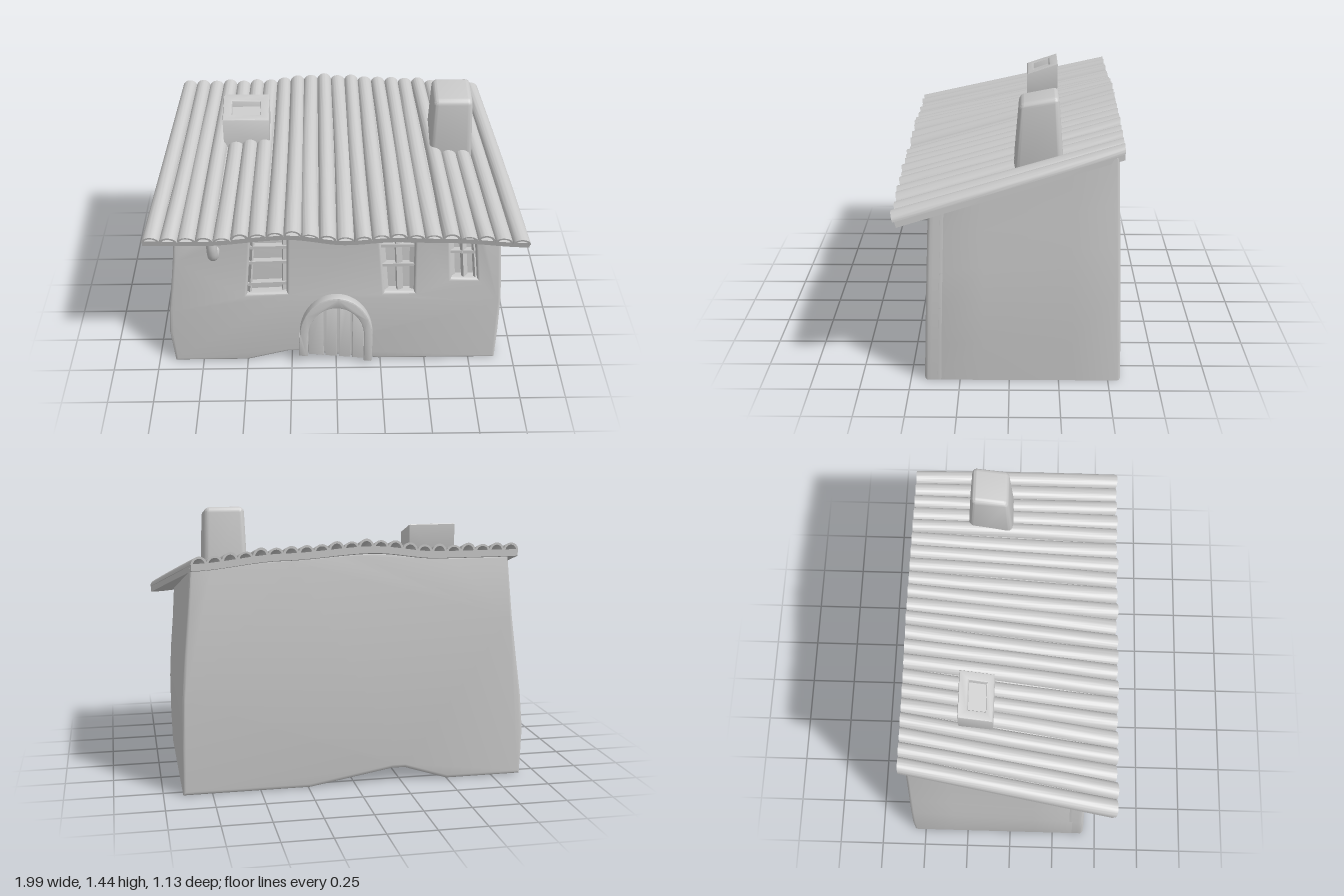
import * as THREE from 'three';
import { toCreasedNormals } from 'three/addons/utils/BufferGeometryUtils.js';
import { RoundedBoxGeometry } from 'three/addons/geometries/RoundedBoxGeometry.js';

const clay = new THREE.MeshStandardMaterial({ color: 0xc8c8c8 });
clay.name = 'grey clay';
const { lerp } = THREE.MathUtils;

// Move every vertex by a rule, then restore soft normals with sharp edges.
function warp(geo, rule, crease = 0.6) {
  const p = geo.attributes.position;
  for (let i = 0; i < p.count; i++) p.setXYZ(i, ...rule(p.getX(i), p.getY(i), p.getZ(i)));
  return toCreasedNormals(geo, crease);
}

function add(parent, name, geo) {
  const mesh = new THREE.Mesh(geo, clay);
  mesh.name = name;
  parent.add(mesh);
  return mesh;
}

// Smooth height curve through a few [x, y] points.
function wave(points) {
  return (x) => {
    let i = 0;
    while (i < points.length - 2 && x > points[i + 1][0]) i++;
    const [a, b] = [points[i], points[i + 1]];
    return lerp(a[1], b[1], THREE.MathUtils.smoothstep(x, a[0], b[0]));
  };
}
const eaves = wave([[-1, 0.908], [-0.7, 0.903], [-0.25, 0.938], [0.05, 0.9], [0.3, 0.917], [0.6, 0.907], [1, 0.875]]);
const ridge = wave([[-1, 1.19], [-0.5, 1.19], [-0.08, 1.225], [0.45, 1.2], [1, 1.16]]);
const roofUnder = (u, t) => lerp(eaves(u), ridge(u), t);

// u runs across the roof, t from front to back, h is the height above its underside.
function roofPoint(u, t, h) {
  return [u * lerp(0.995, 0.845, t) - 0.015 * t, roofUnder(u, t) + h, lerp(0.535, -0.555, t) + 0.28 * h * (1 - t)];
}

const wallZ = (y) => 0.43 - 0.035 * y / 0.92;

// Window openings: corners from top left clockwise, mullions and glazing bars as fractions.
const windows = [
  { corners: [[-0.45, 0.87], [-0.26, 0.87], [-0.27, 0.48], [-0.485, 0.47]], across: [0.25, 0.5, 0.86], up: [] },
  { corners: [[0.23, 0.87], [0.415, 0.87], [0.425, 0.475], [0.265, 0.475]], across: [0.24, 0.56], up: [0.52] },
  { corners: [[0.6, 0.87], [0.73, 0.87], [0.765, 0.56], [0.625, 0.565]], across: [0.45], up: [0.52] },
];

// One depth slice of the house, leaning and rising towards the back.
function houseSlice(t0, t1, holes) {
  const b = 0.016;
  const outline = [[-0.91, 0], [-0.5, 0], [-0.27, 0.06], [-0.2, 0.06], [0.24, 0], [0.9, 0], [0.905, 0.2], [0.905, 0.4],
    [0.895, 0.58], [0.88, 0.75]];
  for (let i = 0; i <= 16; i++) {
    const x = lerp(0.868, -0.848, i / 16);
    outline.push([x, roofUnder(x, 0.13) + 0.015]);
  }
  outline.push([-0.872, 0.7], [-0.895, 0.52], [-0.917, 0.36], [-0.928, 0.2]);
  const shape = new THREE.Shape(outline.map((p) => new THREE.Vector2(...p)));
  for (const hole of holes) shape.holes.push(new THREE.Path(hole.map((p) => new THREE.Vector2(...p))));
  const geo = new THREE.ExtrudeGeometry(shape, {
    depth: t1 - t0 - 2 * b, steps: 4, bevelThickness: b, bevelSize: b, bevelOffset: -b, bevelSegments: 3,
  });
  return warp(geo, (x, y, z) => {
    const t = t1 - (z + b);
    const rise = (roofUnder(x, 0.975) + 0.015) / (roofUnder(x, 0.13) + 0.015) - 1;
    return [x * (1 - 0.035 * t * y / 0.92), y * (1 + rise * t), lerp(wallZ(y), -0.565 + 0.035 * y / 0.92, t)];
  });
}

// Straight glazing bar between two points on the wall.
function bar(parent, a, b, width) {
  const [p, q] = [a, b].map(([x, y]) => new THREE.Vector3(x, y, wallZ(y) - 0.034));
  const dir = q.clone().sub(p);
  const mesh = add(parent, 'glazingBar', new THREE.BoxGeometry(width, dir.length(), 0.035));
  mesh.position.copy(p).add(q).multiplyScalar(0.5);
  mesh.quaternion.setFromUnitVectors(new THREE.Vector3(0, 1, 0), dir.normalize());
}

// Extrude a flat shape out of the leaning front wall.
function onWall(shape, depth, bevel) {
  const geo = new THREE.ExtrudeGeometry(shape, {
    depth, bevelThickness: bevel, bevelSize: bevel, bevelOffset: -bevel, bevelSegments: 2, curveSegments: 24,
  });
  return warp(geo, (x, y, z) => [x, y, z + wallZ(y) - 0.012]);
}

function makeDoor() {
  const door = new THREE.Group();
  door.name = 'door';
  const sill = (x) => 0.04 - 0.11 * x;
  const arch = new THREE.Shape();
  arch.moveTo(-0.21, sill(-0.21));
  arch.lineTo(-0.205, 0.2);
  arch.absellipse(0, 0.2, 0.203, 0.27, Math.PI, 0, true);
  arch.lineTo(0.2, sill(0.2));
  arch.lineTo(0.155, sill(0.155));
  arch.absellipse(0, 0.2, 0.155, 0.2, 0, Math.PI, false);
  arch.lineTo(-0.16, sill(-0.16));
  add(door, 'doorArch', onWall(arch, 0.046, 0.009));
  // planks cut to the curve of the arch
  const seams = [-0.16, -0.065, 0.01, 0.085, 0.16];
  for (let i = 0; i < seams.length - 1; i++) {
    const [a, b] = [seams[i] + 0.005, seams[i + 1] - 0.005];
    const plank = [[a, sill(a)], [b, sill(b)]];
    for (let k = 0; k <= 6; k++) {
      const x = lerp(b, a, k / 6);
      plank.push([x, 0.205 + 0.2 * Math.sqrt(Math.max(0, 1 - (x / 0.16) ** 2))]);
    }
    add(door, 'doorPlank', onWall(new THREE.Shape(plank.map((p) => new THREE.Vector2(...p))), 0.028, 0.003));
  }
  return door;
}

function makeRoof() {
  const roof = new THREE.Group();
  roof.name = 'roof';
  add(roof, 'roofSlab', warp(new THREE.BoxGeometry(2, 1, 1, 48, 1, 6),
    (x, y, z) => roofPoint(x, 0.5 - z, (y + 0.5) * 0.035)));
  // half-round tiles running from eaves to ridge
  const section = new THREE.Shape();
  section.absarc(0, 0, 1, 0, Math.PI, false);
  section.absarc(0, 0, 0.72, Math.PI, 0, true);
  const count = 22;
  for (let i = 0; i < count; i++) {
    const center = -1 + (2 * i + 1) / count;
    const height = 0.04 + 0.005 * Math.sin(i * 2.7);
    const start = 0.004 * Math.sin(i * 4.1) - 0.004;
    const bend = 0.006 * Math.sin(i * 1.9);
    const geo = new THREE.ExtrudeGeometry(section, { depth: 1, steps: 8, bevelEnabled: false, curveSegments: 10 });
    add(roof, 'roofTile', warp(geo, (a, b, z) => {
      const t = lerp(1, start, z);
      const u = center + a * 0.047 + bend * Math.sin(t * Math.PI);
      const base = roofPoint(center, t, 0.03);
      const side = roofPoint(u, t, 0.03 + b * height);
      return [side[0], lerp(side[1], base[1] + b * height, 0.3), side[2]];
    }));
  }
  return roof;
}

function makeVent() {
  const vent = new THREE.Group();
  vent.name = 'roofVent';
  const rect = (T, x0, x1, y0, y1) =>
    new T([[x0, y0], [x1, y0], [x1, y1], [x0, y1]].map((p) => new THREE.Vector2(...p)));
  const topY = (z) => 1.275 - (z + 0.09) * 0.34;
  const collar = rect(THREE.Shape, -0.605, -0.355, 0.09, 0.265);
  collar.holes.push(rect(THREE.Path, -0.557, -0.403, 0.127, 0.216));
  const geo = new THREE.ExtrudeGeometry(collar, {
    depth: 0.98, bevelThickness: 0.02, bevelSize: 0.008, bevelOffset: -0.008, bevelSegments: 2,
  });
  add(vent, 'ventCollar', warp(geo, (x, y, z) => [x, lerp(1.06, topY(-y), z), -y]));
  add(vent, 'ventFloor', warp(new THREE.BoxGeometry(0.18, 0.1, 0.12),
    (x, y, z) => [x - 0.48, y + topY(z - 0.175) - 0.085, z - 0.175]));
  return vent;
}

export function createModel() {
  const house = new THREE.Group();
  house.name = 'cottage';

  // walls: solid core, with a pierced front skin that forms the window recesses
  add(house, 'walls', houseSlice(0.05, 1, []));
  add(house, 'frontWall', houseSlice(0, 0.1, windows.map((w) => w.corners)));

  for (const { corners: [tl, tr, br, bl], across, up } of windows) {
    const frame = new THREE.Group();
    frame.name = 'window';
    const mix = (a, b, f) => [lerp(a[0], b[0], f), lerp(a[1], b[1], f)];
    for (const f of across) bar(frame, mix(tl, bl, f), mix(tr, br, f), 0.018);
    for (const f of up) bar(frame, mix(tl, tr, f), mix(bl, br, f), 0.018);
    for (const f of [0.03, 0.97]) bar(frame, mix(tl, tr, f), mix(bl, br, f), 0.014);
    house.add(frame);
  }

  house.add(makeDoor(), makeRoof(), makeVent());

  // tapered chimney with a slanted top
  add(house, 'chimney', warp(new RoundedBoxGeometry(0.225, 0.44, 0.24, 4, 0.03), (x, y, z) => {
    const s = (y + 0.22) / 0.44;
    return [0.63 + x * (1.06 - 0.14 * s), 1 + s * (0.425 - 0.16 * z), -0.143 + z * (1.08 - 0.28 * s)];
  }, 0.8));

  // drain pipe curling from the eaves into the wall
  const path = new THREE.CatmullRomCurve3([[0.93, 0.507], [0.86, 0.507], [0.81, 0.492], [0.779, 0.455], [0.77, 0.38]]
    .map(([y, z]) => new THREE.Vector3(-0.645, y, z)));
  add(house, 'drainPipe', new THREE.TubeGeometry(path, 24, 0.028, 14));

  return house;
}
